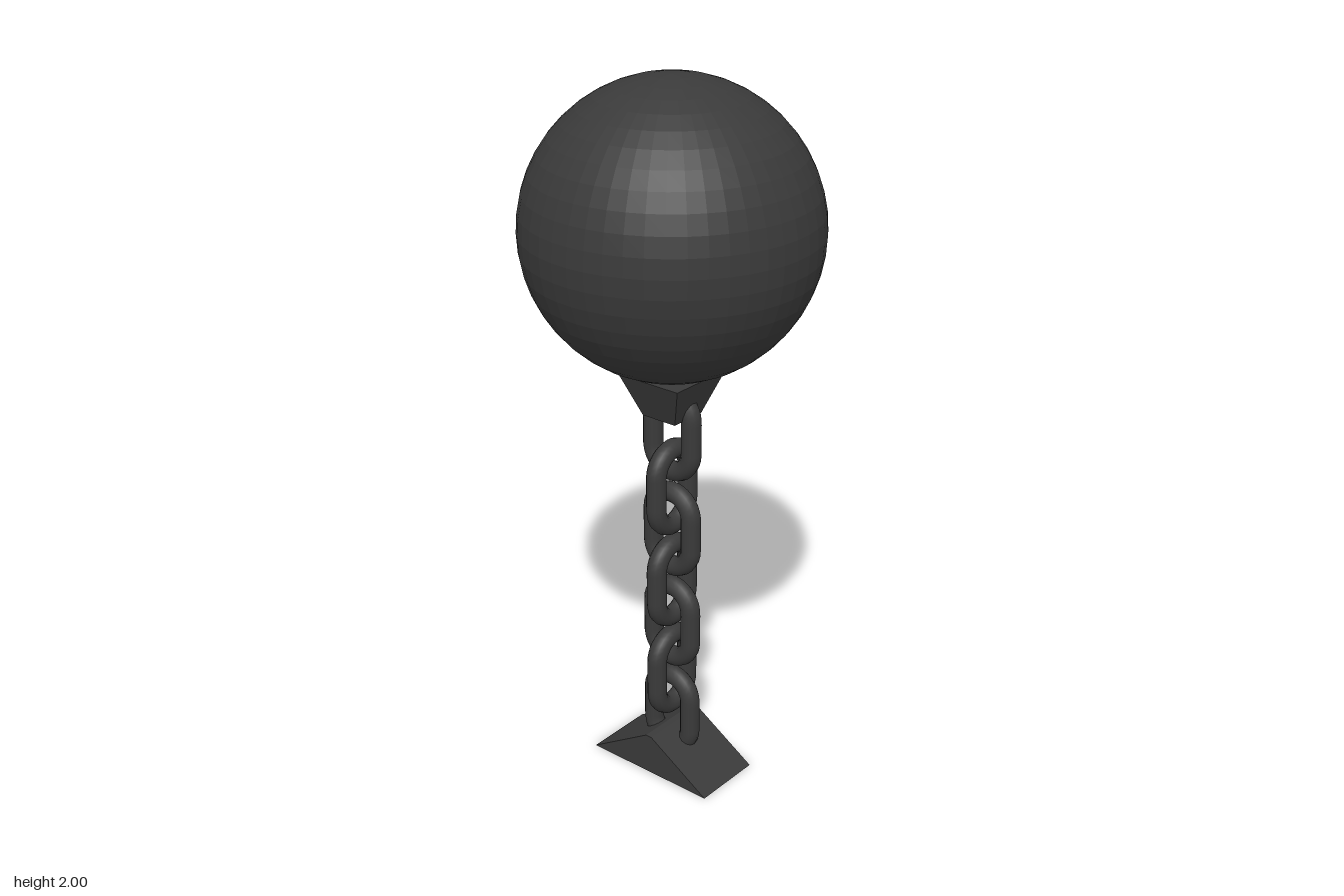
import * as THREE from 'three';

const iron = new THREE.MeshStandardMaterial({ color: 0x3a3a3a });
const ironFlat = new THREE.MeshStandardMaterial({ color: 0x3a3a3a, flatShading: true });

// Closed oval centreline: two semicircles joined by straight legs
class LinkCurve extends THREE.Curve {
  constructor(radius, halfLeg) {
    super();
    this.radius = radius;
    this.halfLeg = halfLeg;
  }
  getPoint(t, target = new THREE.Vector3()) {
    const r = this.radius, leg = 2 * this.halfLeg, arc = Math.PI * r;
    let s = (t % 1) * 2 * (leg + arc);
    const side = s < leg + arc ? 1 : -1;
    if (side < 0) s -= leg + arc;
    if (s < leg) return target.set(side * r, side * (s - this.halfLeg), 0);
    const a = (s - leg) / r;
    return target.set(side * r * Math.cos(a), side * (this.halfLeg + r * Math.sin(a)), 0);
  }
}

export function createModel() {
  const model = new THREE.Group();
  model.name = 'ballAndChain';
  const add = (name, geometry, material, y) => {
    const mesh = new THREE.Mesh(geometry, material);
    mesh.name = name;
    mesh.position.y = y;
    model.add(mesh);
    return mesh;
  };

  // Heavy ball
  add('ball', new THREE.SphereGeometry(0.396, 48, 24), ironFlat, 1.604);

  // Square tapered mount under the ball
  const mount = new THREE.CylinderGeometry(0.1 * Math.SQRT2, 0.055 * Math.SQRT2, 0.12, 4);
  mount.rotateY(Math.PI / 4);
  add('ballMount', mount, ironFlat, 1.15);

  // Chain: links alternate between facing front and facing sideways
  const link = new THREE.TubeGeometry(new LinkCurve(0.066, 0.047), 48, 0.028, 12, true);
  const chain = new THREE.Group();
  chain.name = 'chain';
  for (let i = 0; i < 7; i++) {
    const sideways = i % 2 === 1;
    const mesh = new THREE.Mesh(link, iron);
    mesh.name = 'chainLink' + (i + 1);
    mesh.position.y = sideways ? 0.156 + i * 0.1437 : 0.165 + i * 0.1453;
    mesh.rotation.y = sideways ? Math.PI / 2 : 0;
    chain.add(mesh);
  }
  model.add(chain);

  // Wedge-shaped anchor at the foot
  const wedge = new THREE.Shape([
    new THREE.Vector2(-0.205, 0),
    new THREE.Vector2(0.205, 0),
    new THREE.Vector2(0.01, 0.12),
    new THREE.Vector2(-0.01, 0.12),
  ]);
  const anchor = new THREE.ExtrudeGeometry(wedge, { depth: 0.21, bevelEnabled: false });
  anchor.translate(0, 0, -0.105);
  add('anchorWedge', anchor, ironFlat, 0);

  return model;
}
